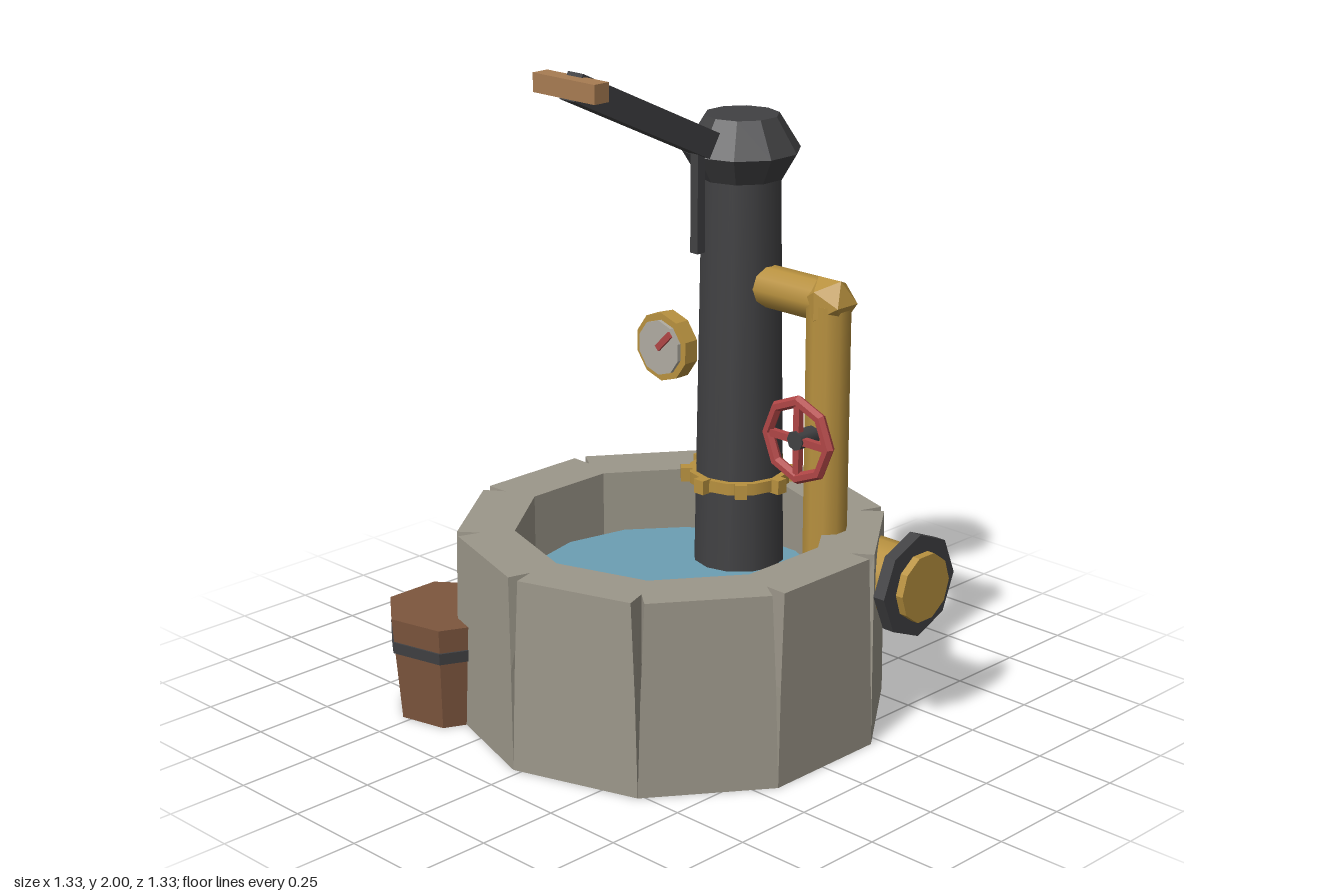
import * as THREE from 'three';

const mat = (name, color, extra = {}) =>
  Object.assign(new THREE.MeshStandardMaterial({ color, ...extra }), { name });

export function createModel() {
  const group = new THREE.Group();
  group.name = 'wellPump';
  const stone = mat('stone', 0x9c978a);
  const water = mat('water', 0x6c9fb3, { side: THREE.DoubleSide });
  const iron = mat('iron', 0x414143);
  const brass = mat('brass', 0xb8913f);
  const red = mat('red', 0xb04646);
  const wood = mat('wood', 0x7d563e);
  const paleWood = mat('paleWood', 0xa87c52);
  const dialGrey = mat('dialGrey', 0xb0aca2);

  const add = (name, geo, material, x = 0, y = 0, z = 0, parent = group) => {
    const mesh = new THREE.Mesh(geo, material);
    mesh.name = name;
    mesh.position.set(x, y, z);
    parent.add(mesh);
    return mesh;
  };
  const box = (w, h, d) => new THREE.BoxGeometry(w, h, d);
  const cyl = (top, bottom, h, n, start = 0) =>
    new THREE.CylinderGeometry(top, bottom, h, n, 1, false, start);
  const flat = (geo) => {
    const g = geo.index ? geo.toNonIndexed() : geo;
    g.computeVertexNormals();
    return g;
  };

  // Stone ring: ten blocks in two courses, with V notches widening upward
  const CX = -0.025, CZ = -0.012, STEP = Math.PI / 5;
  const levels = [
    { y: 0, r: 0.654, gap: 0 },
    { y: 0.305, r: 0.649, gap: 0.012 },
    { y: 0.59, r: 0.643, gap: 0.03 },
  ];
  const outline = ({ y, r, gap }) =>
    [[0.473, 0], [0.575, 0], [r, gap], [r, STEP - gap], [0.575, STEP], [0.473, STEP]]
      .map(([rad, a]) => [Math.sin(a) * rad, y, Math.cos(a) * rad]);
  const block = (low, high) => {
    const b = outline(low), t = outline(high), pos = [];
    const tri = (...pts) => pts.forEach((p) => pos.push(...p));
    for (let i = 0; i < 6; i++) {
      const j = (i + 1) % 6;
      tri(b[i], b[j], t[j]);
      tri(b[i], t[j], t[i]);
    }
    for (let i = 1; i < 5; i++) {
      tri(t[0], t[i], t[i + 1]);
      tri(b[0], b[i + 1], b[i]);
    }
    const geo = new THREE.BufferGeometry();
    geo.setAttribute('position', new THREE.Float32BufferAttribute(pos, 3));
    geo.computeVertexNormals();
    return geo;
  };
  const wall = new THREE.Group();
  wall.name = 'stoneRing';
  wall.position.set(CX, 0, CZ);
  group.add(wall);
  for (let c = 0; c < 2; c++) {
    const geo = block(levels[c], levels[c + 1]);
    for (let k = 0; k < 10; k++) add('stoneBlock', geo, stone, 0, 0, 0, wall).rotation.y = k * STEP;
  }

  // Water surface
  add('water', new THREE.CircleGeometry(0.45, 14), water, CX, 0.4, CZ).rotation.x = -Math.PI / 2;

  // Pump column and faceted cap
  const PZ = -0.3;
  add('column', cyl(0.12, 0.14, 1.22, 12), iron, CX, 1.0, PZ);
  const cap = [[0, 1.6], [0.13, 1.6], [0.177, 1.68], [0.112, 1.785], [0, 1.785]]
    .map(([r, y]) => new THREE.Vector2(r, y));
  add('columnCap', flat(new THREE.LatheGeometry(cap, 10)), iron, CX, 0, PZ);

  // Brass collar with bolts
  add('collar', cyl(0.155, 0.155, 0.036, 12), brass, CX, 0.67, PZ);
  for (let k = 0; k < 8; k++) {
    const a = k * Math.PI / 4;
    add('collarBolt', box(0.036, 0.044, 0.036), brass,
      CX + Math.sin(a) * 0.16, 0.67, PZ + Math.cos(a) * 0.16).rotation.y = a;
  }

  // Pump handle, grip and rod
  add('handleArm', box(0.06, 0.08, 0.62), iron, CX, 1.834, 0.1).rotation.x = -0.435;
  add('handleGrip', box(0.245, 0.055, 0.055), paleWood, CX, 1.963, 0.383);
  add('pumpRod', box(0.03, 0.32, 0.03), iron, CX, 1.56, -0.115);

  // Side pipe with faceted elbow
  const PX = 0.33;
  add('crossPipe', cyl(0.064, 0.064, 0.3, 10), brass, 0.18, 1.285, PZ).rotation.z = Math.PI / 2;
  add('downPipe', cyl(0.067, 0.067, 0.9, 10), brass, PX, 0.835, -0.295);
  add('elbow', new THREE.IcosahedronGeometry(0.082, 0), brass, PX, 1.285, -0.297);

  // Valve wheel
  const wheel = new THREE.Group();
  wheel.name = 'valveWheel';
  wheel.position.set(PX, 0.895, -0.17);
  group.add(wheel);
  add('wheelRim', flat(new THREE.TorusGeometry(0.118, 0.018, 6, 8)), red, 0, 0, 0, wheel);
  add('wheelSpoke', box(0.23, 0.022, 0.02), red, 0, 0, 0, wheel);
  add('wheelSpoke', box(0.022, 0.23, 0.02), red, 0, 0, 0, wheel);
  add('valveStem', cyl(0.03, 0.03, 0.1, 8), iron, 0, 0, -0.035, wheel).rotation.x = Math.PI / 2;

  // Pressure gauge
  const gauge = new THREE.Group();
  gauge.name = 'gauge';
  gauge.position.set(-0.19, 1.073, 0);
  group.add(gauge);
  add('gaugeBody', flat(cyl(0.106, 0.106, 0.05, 10)), brass, 0, 0, -0.155, gauge).rotation.x = Math.PI / 2;
  add('gaugeFace', flat(cyl(0.085, 0.085, 0.012, 10)), dialGrey, 0, 0, -0.124, gauge).rotation.x = Math.PI / 2;
  add('gaugeNeedle', box(0.075, 0.02, 0.009), red, 0.026, 0.026, -0.114, gauge).rotation.z = Math.PI / 4;

  // Outlet pipe through the wall: radius, length, centre x, sides
  const outlet = new THREE.Group();
  outlet.name = 'outlet';
  outlet.position.set(0, 0.468, -0.37);
  group.add(outlet);
  const ring = (name, r, len, x, n, m, facet = true) => {
    const g = cyl(r, r, len, n);
    add(name, facet ? flat(g) : g, m, x, 0, 0, outlet).rotation.z = -Math.PI / 2;
  };
  ring('outletPipe', 0.105, 0.22, 0.49, 12, brass, false);
  ring('outletCollar', 0.133, 0.02, 0.59, 10, brass);
  ring('outletFlange', 0.159, 0.04, 0.615, 8, iron);
  ring('outletCap', 0.106, 0.026, 0.647, 10, brass);

  // Bucket with iron band
  add('bucket', flat(cyl(0.2, 0.172, 0.325, 7, Math.PI / 2)), wood, -0.49, 0.1625, 0.467);
  add('bucketBand', flat(cyl(0.2, 0.197, 0.036, 7, Math.PI / 2)), iron, -0.49, 0.233, 0.467);

  return group;
}
